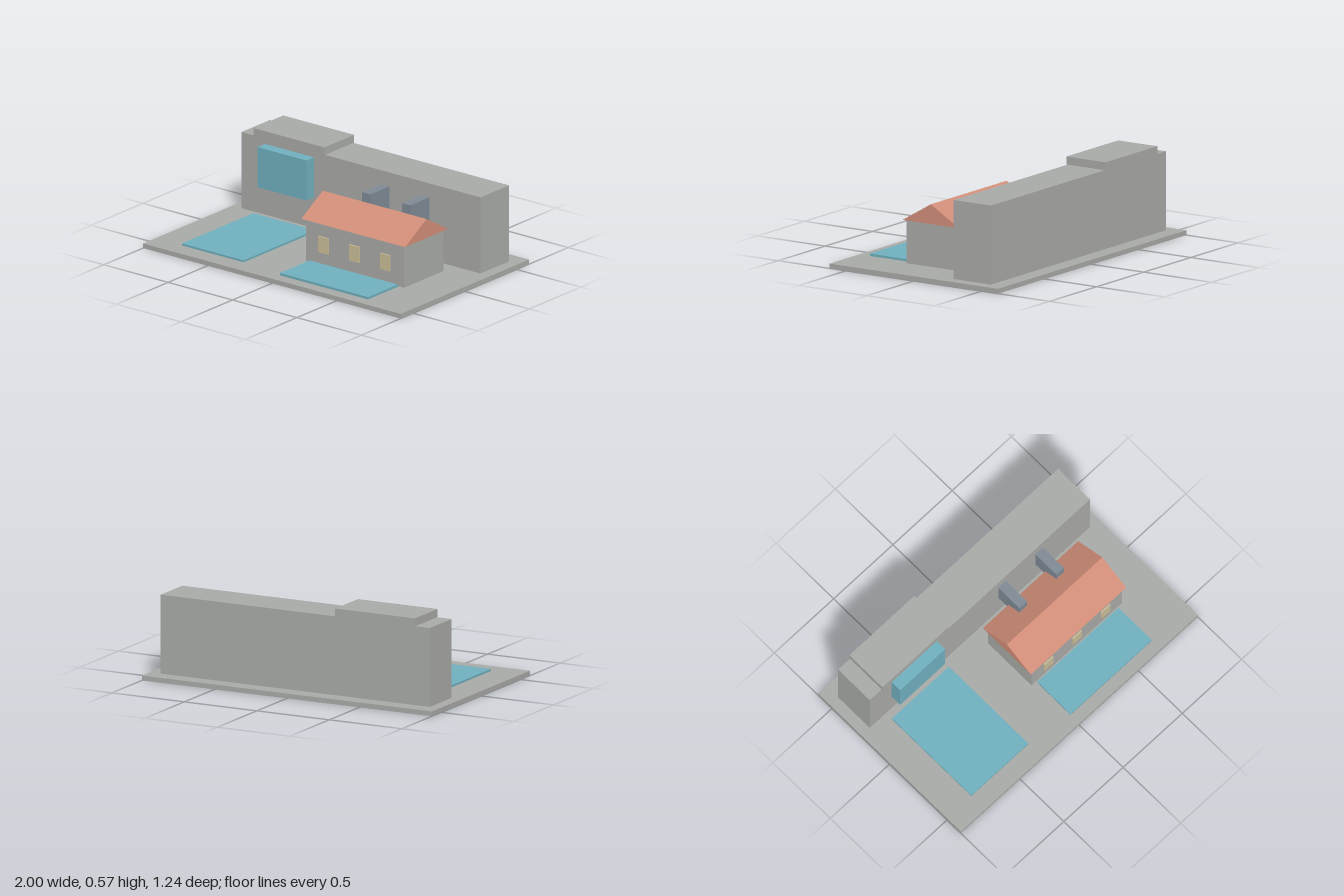
import * as THREE from 'three';

export function createModel() {
  const model = new THREE.Group();
  const material = (name, color) => {
    const m = new THREE.MeshStandardMaterial({ color });
    m.name = name;
    return m;
  };
  const concrete = material('concrete grey', 0xa8aaa6);
  const tile = material('roof terracotta', 0xd08d78);
  const water = material('water blue', 0x6fafbd);
  const pane = material('window cream', 0xc9bd97);
  const slate = material('duct slate', 0x7e8a94);

  // Box given by its limits on each axis
  function box(name, mat, [x0, x1], [y0, y1], [z0, z1]) {
    const mesh = new THREE.Mesh(new THREE.BoxGeometry(x1 - x0, y1 - y0, z1 - z0), mat);
    mesh.position.set((x0 + x1) / 2, (y0 + y1) / 2, (z0 + z1) / 2);
    mesh.name = name;
    model.add(mesh);
  }

  // Ground slab and pools
  box('base', concrete, [-1, 1], [0, 0.03], [-0.62, 0.62]);
  box('largePool', water, [-0.795, -0.315], [0.03, 0.043], [-0.19, 0.5]);
  box('smallPool', water, [0, 0.685], [0.03, 0.045], [0.255, 0.543]);

  // Long rear block with its raised cap and projecting glass bay
  box('rearBlock', concrete, [-0.93, 0.927], [0.03, 0.52], [-0.518, -0.243]);
  box('rearBlockCap', concrete, [-0.83, -0.28], [0.52, 0.57], [-0.524, -0.236]);
  box('glassBay', water, [-0.745, -0.365], [0.227, 0.485], [-0.243, -0.17]);

  // House with front windows
  box('houseWalls', concrete, [-0.037, 0.725], [0.03, 0.3], [-0.137, 0.243]);
  for (const x of [0.102, 0.342, 0.582]) {
    box('window', pane, [x - 0.038, x + 0.038], [0.112, 0.215], [0.243, 0.252]);
  }

  // Gable roof, extruded along x
  const gable = new THREE.Shape([
    new THREE.Vector2(-0.26, 0.3),
    new THREE.Vector2(0.157, 0.3),
    new THREE.Vector2(-0.052, 0.423),
  ]);
  const roofGeometry = new THREE.ExtrudeGeometry(gable, { depth: 0.805, bevelEnabled: false });
  roofGeometry.rotateY(Math.PI / 2);
  const roof = new THREE.Mesh(roofGeometry, tile);
  roof.position.x = -0.06;
  roof.name = 'roof';
  model.add(roof);

  // Ducts rising behind the house and running into the rear block
  for (const x of [0.187, 0.498]) {
    box('ductRiser', slate, [x - 0.032, x + 0.032], [0.123, 0.253], [-0.153, -0.06]);
    box('ductArm', slate, [x - 0.032, x + 0.032], [0.253, 0.43], [-0.243, -0.06]);
  }

  return model;
}
